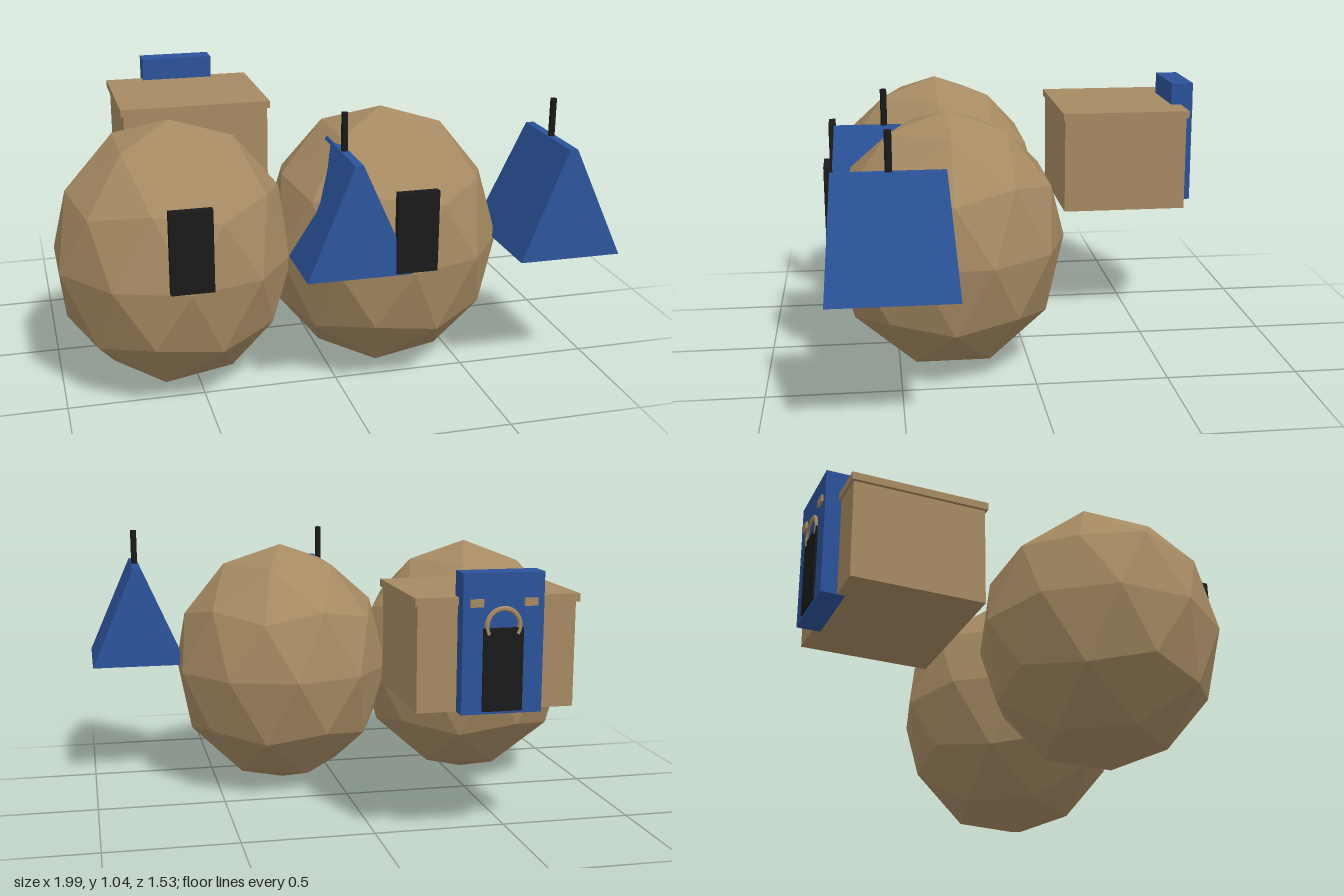
import * as THREE from 'three';

const mat = (name, color) => {
  const m = new THREE.MeshStandardMaterial({ color, flatShading: true });
  m.name = name;
  return m;
};

export function createModel() {
  const model = new THREE.Group();
  model.name = 'domeCamp';
  const tan = mat('tan', 0xa68a62);
  const blue = mat('blue', 0x2b5299);
  const black = mat('black', 0x1a1a1a);

  const add = (parent, name, geometry, material, x, y, z) => {
    const mesh = new THREE.Mesh(geometry, material);
    mesh.name = name;
    mesh.position.set(x, y, z);
    parent.add(mesh);
    return mesh;
  };

  // Box given by its minimum and maximum corners
  const block = (parent, name, material, a, b) => add(parent, name,
    new THREE.BoxGeometry(b[0] - a[0], b[1] - a[1], b[2] - a[2]), material,
    (a[0] + b[0]) / 2, (a[1] + b[1]) / 2, (a[2] + b[2]) / 2);

  // Faceted dome, tilted so a vertex points straight up, with a flat front door
  const dome = (name, x) => {
    const g = new THREE.Group();
    g.name = name;
    const ball = new THREE.IcosahedronGeometry(1, 1);
    ball.rotateZ(-Math.atan(2 / (1 + Math.sqrt(5))));
    ball.scale(0.446, 0.498, 0.446);
    add(g, 'domeShell', ball, tan, x, 0.5, 0.305);
    block(g, 'domeDoor', black, [x - 0.075, 0.512, 0.735], [x + 0.075, 0.807, 0.763]);
    model.add(g);
  };

  // Wedge tent: a box whose top is drawn in to a narrow ridge, with a chimney
  const tent = (name, x) => {
    const g = new THREE.Group();
    g.name = name;
    const geo = new THREE.BoxGeometry(0.38, 0.4, 0.446);
    const p = geo.attributes.position;
    for (let i = 0; i < p.count; i++) {
      if (p.getY(i) > 0) {
        p.setX(i, Math.sign(p.getX(i)) * 0.015);
        p.setZ(i, Math.sign(p.getZ(i)) * 0.192);
      }
    }
    geo.computeVertexNormals();
    add(g, 'tentBody', geo, blue, x, 0.705, 0.534);
    add(g, 'chimney', new THREE.CylinderGeometry(0.0125, 0.0125, 0.2, 8), black, x, 0.945, 0.534);
    model.add(g);
  };

  dome('rightDome', -0.573);
  dome('leftDome', 0.219);
  tent('middleTent', 0.015);
  tent('leftTent', 0.805);

  // Flat-roofed house at the rear
  const house = new THREE.Group();
  house.name = 'house';
  model.add(house);
  block(house, 'houseBody', tan, [-0.68, 0.502, -0.695], [-0.1, 0.885, -0.195]);
  block(house, 'houseRoof', tan, [-0.692, 0.882, -0.705], [-0.09, 0.911, -0.187]);

  // Entrance slab on the back wall with door, ring and two small brackets
  const cx = -0.392;
  block(house, 'entranceSlab', blue, [cx - 0.147, 0.502, -0.755], [cx + 0.147, 1, -0.665]);
  block(house, 'houseDoor', black, [cx - 0.073, 0.512, -0.762], [cx + 0.073, 0.808, -0.74]);
  const ring = add(house, 'doorRing', new THREE.TorusGeometry(0.06, 0.009, 6, 18, Math.PI * 4 / 3), tan, cx, 0.815, -0.757);
  ring.rotation.z = -Math.PI / 6;
  for (const s of [-1, 1]) {
    const bx = cx + s * 0.098;
    block(house, 'bracket', tan, [bx - 0.024, 0.882, -0.763], [bx + 0.024, 0.91, -0.75]);
  }
  return model;
}
